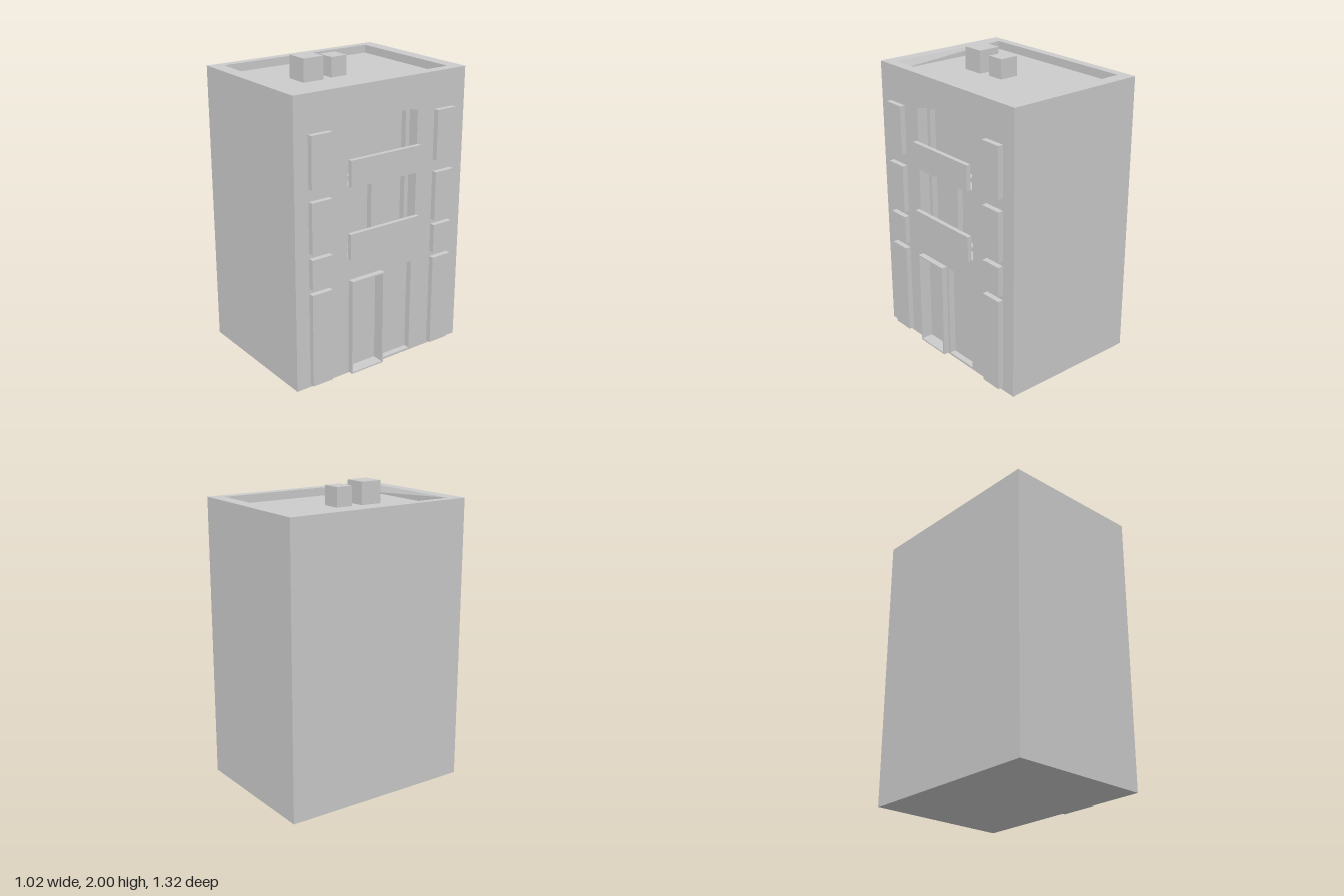
import * as THREE from 'three';

const WALL = 0.47; // x of the facade plane
const material = new THREE.MeshStandardMaterial({ color: 0xcccccc, flatShading: true });

// Outlines on the facade: u runs along -z, v is height, counter-clockwise
const rect = (u0, u1, v0, v1) => [[u0, v0], [u1, v0], [u1, v1], [u0, v1]];
function arch(half, v0, side, crown, n = 8) {
  const pts = [[-half, v0], [half, v0]];
  for (let i = 0; i <= n; i++) {
    const t = 1 - (2 * i) / n;
    pts.push([half * t, side + (crown - side) * (1 - t * t)]);
  }
  return pts;
}
const at = (pts, x) => pts.map(([u, v]) => [x, v, -u]);

export function createModel() {
  const model = new THREE.Group();

  function add(name, geometry, parent = model) {
    const mesh = new THREE.Mesh(geometry, material);
    mesh.name = name;
    parent.add(mesh);
    return mesh;
  }

  function group(name) {
    const g = new THREE.Group();
    g.name = name;
    model.add(g);
    return g;
  }

  function box(name, x0, x1, y0, y1, z0, z1, parent) {
    const mesh = add(name, new THREE.BoxGeometry(x1 - x0, y1 - y0, z1 - z0), parent);
    mesh.position.set((x0 + x1) / 2, (y0 + y1) / 2, (z0 + z1) / 2);
  }

  // Band of quads joining two loops of points
  function strip(name, a, b, closed = true, parent = model) {
    const pos = [];
    const n = a.length;
    for (let i = 0; i < (closed ? n : n - 1); i++) {
      const j = (i + 1) % n;
      for (const p of [a[i], a[j], b[j], a[i], b[j], b[i]]) pos.push(...p);
    }
    const g = new THREE.BufferGeometry();
    g.setAttribute('position', new THREE.Float32BufferAttribute(pos, 3));
    g.computeVertexNormals();
    add(name, g, parent);
  }

  function shapeOf(outline, holes = []) {
    const toVec = (pts) => pts.map(([u, v]) => new THREE.Vector2(u, v));
    const shape = new THREE.Shape(toVec(outline));
    for (const h of holes) shape.holes.push(new THREE.Path(toVec(h)));
    return shape;
  }

  // Flat sheet facing +x
  function sheet(name, x, outline, holes, parent) {
    const g = new THREE.ShapeGeometry(shapeOf(outline, holes)).rotateY(Math.PI / 2);
    add(name, g, parent).position.x = x;
  }

  // Building shell, open on the facade side
  const H = 1.905, FLOOR = 1.85;
  const loop = (x0, x1, z0, z1, y, zEnd = z1) =>
    [[x1, y, z0], [x0, y, z0], [x0, y, z1], [x1, y, zEnd]];
  const base = loop(-0.51, WALL, -0.66, 0.66, 0);
  const top = loop(-0.51, WALL, -0.66, 0.66, H);
  strip('sideWalls', base, top, false);
  strip('underside', [base[3], base[2]], [base[0], base[1]], false);

  // Sunken roof; the front parapet widens slightly towards one end
  const rim = loop(-0.45, 0.4, -0.57, 0.565, H, 0.59);
  const floor = loop(-0.45, 0.4, -0.57, 0.565, FLOOR);
  strip('parapetTop', top, rim);
  strip('parapetInside', rim, floor);
  strip('roof', [floor[0], floor[1]], [floor[3], floor[2]], false);
  box('largeChimney', -0.1, 0.055, FLOOR, 2, 0.15, 0.3);
  box('smallChimney', -0.09, 0.04, FLOOR, 1.98, -0.04, 0.08);

  // Facade with its openings
  const upper = arch(0.272, 1.29, 1.675, 1.72);
  const lower = rect(-0.272, 0.272, 0.815, 1.265);
  const leftDoor = rect(-0.252, -0.015, 0.018, 0.653);
  const rightDoor = rect(0.015, 0.25, 0.015, 0.657);
  sheet('facade', WALL, rect(-0.66, 0.66, 0, H), [upper, lower, leftDoor, rightDoor]);

  // Windows: deep reveal, frame, then panes set further back
  const windows = [
    ['upperWindow', upper, [arch(0.24, 1.32, 1.658, 1.705)]],
    ['lowerWindow', lower, [rect(-0.24, -0.03, 0.845, 1.25), rect(0.03, 0.24, 0.845, 1.25)]],
  ];
  for (const [name, opening, panes] of windows) {
    const g = group(name);
    strip('reveal', at(opening, WALL), at(opening, 0.395), true, g);
    sheet('frame', 0.395, opening, panes, g);
    for (const pane of panes) {
      strip('paneEdge', at(pane, 0.395), at(pane, 0.355), true, g);
      sheet('pane', 0.355, pane, [], g);
    }
  }

  // Balcony panels standing just clear of the wall
  for (const y of [0.815, 1.29]) box('balconyPanel', 0.48, 0.51, y, y + 0.17, -0.272, 0.275);

  // Recessed doors
  for (const [name, outline] of [['leftDoor', leftDoor], ['rightDoor', rightDoor]]) {
    const g = group(name);
    strip('reveal', at(outline, WALL), at(outline, 0.428), true, g);
    sheet('leaf', 0.428, outline, [], g);
  }

  // Thin projecting frame around the left door
  const frame = new THREE.ExtrudeGeometry(
    shapeOf(rect(-0.26, -0.003, 0.008, 0.662), [leftDoor]),
    { depth: 0.04, bevelEnabled: false }
  ).rotateY(Math.PI / 2);
  add('leftDoorFrame', frame).position.x = WALL;

  // Columns of raised panels on both sides of the facade
  for (const z of [-0.485, 0.485]) {
    const g = group('panelColumn');
    for (const [y0, y1] of [[0.02, 0.652], [0.688, 0.885], [0.92, 1.25], [1.33, 1.662]])
      box('raisedPanel', WALL, 0.506, y0, y1, z - 0.075, z + 0.075, g);
  }

  return model;
}
